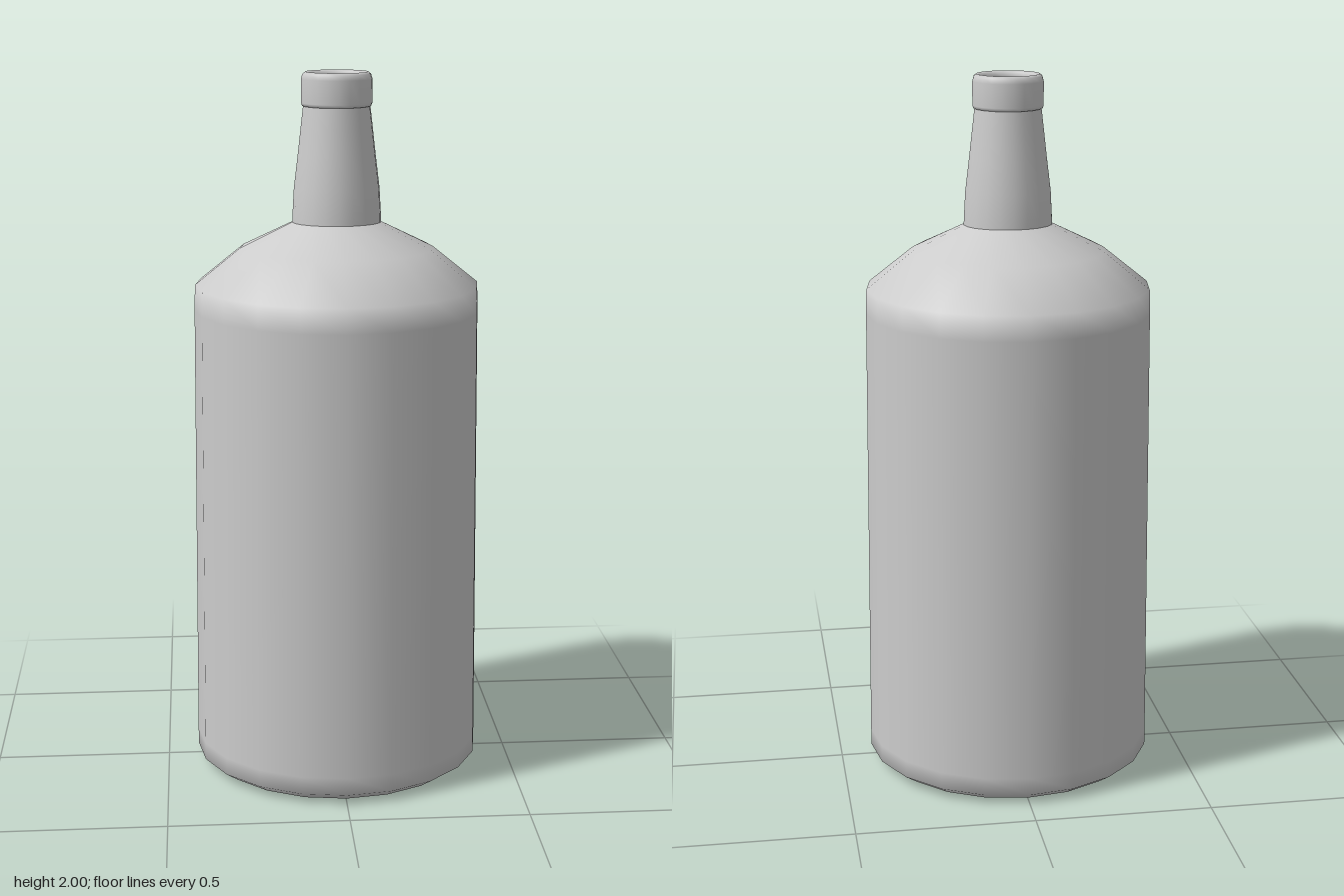
import * as THREE from 'three';

const SIDES = 20;

// Spins an [r, y] profile (bottom to top) and scales the depth of each ring by a rule.
function turned(name, profile, depthAt = () => 1) {
  const points = profile.map(([r, y]) => new THREE.Vector2(r, y));
  const geometry = new THREE.LatheGeometry(points, SIDES);
  const pos = geometry.attributes.position;
  for (let i = 0; i < pos.count; i++) {
    pos.setZ(i, pos.getZ(i) * depthAt(pos.getY(i)));
  }
  const material = new THREE.MeshStandardMaterial({ color: 0xcccccc, side: THREE.DoubleSide });
  const mesh = new THREE.Mesh(geometry, material);
  mesh.name = name;
  return mesh;
}

export function createModel() {
  const group = new THREE.Group();
  group.name = 'bottle';

  // The neck root is pinched front to back; the body is very slightly oval at the foot.
  const pinch = 0.83;
  const bodyDepth = (y) => (y > 1.57 ? pinch : 0.98 + 0.025 * Math.min(y / 1.4, 1));
  const neckDepth = (y) => (y < 1.62 ? pinch + (y - 1.585) * 1.5 : 0.98);

  // Body with bevelled foot and sloping shoulder
  group.add(turned('body', [
    [0, 0], [0.36, 0], [0.375, 0.004], [0.412, 0.03], [0.412, 0.08],
    [0.402, 1.34], [0.4, 1.41], [0.272, 1.513], [0.125, 1.585],
  ], bodyDepth));

  // Tapering neck
  group.add(turned('neck', [
    [0.125, 1.585], [0.124, 1.61], [0.12, 1.68], [0.109, 1.77], [0.1, 1.85], [0.093, 1.91],
  ], neckDepth));

  // Rounded lip around the opening
  group.add(turned('lip', [
    [0.09, 1.905], [0.096, 1.907], [0.099, 1.915], [0.099, 1.98], [0.095, 1.994],
    [0.087, 2], [0.079, 1.996], [0.073, 1.985], [0.073, 1.91],
  ]));

  // Shallow dished floor inside the opening
  group.add(turned('mouthFloor', [[0.073, 1.91], [0.001, 1.89]].reverse()));

  return group;
}
